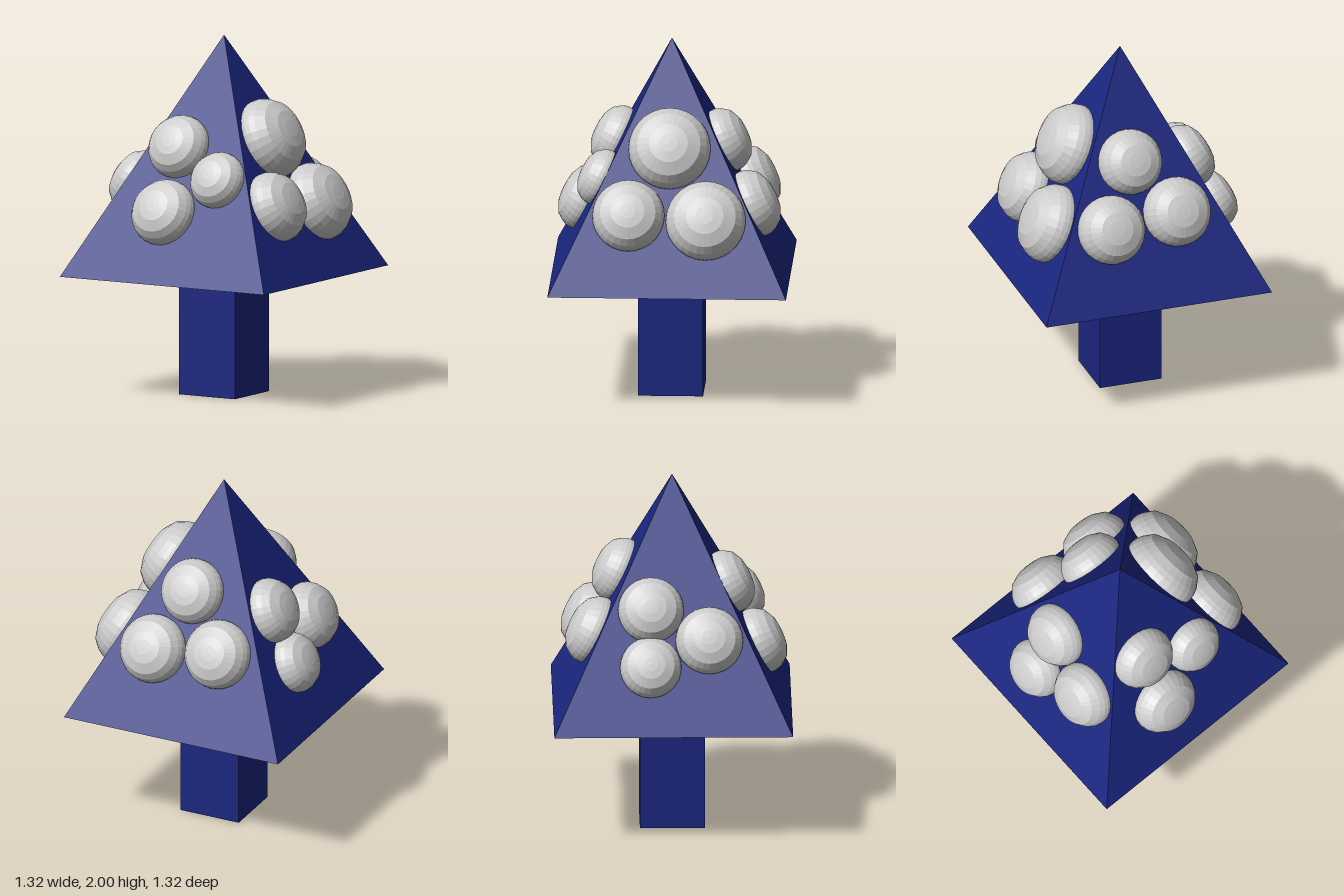
import * as THREE from 'three';

const BASE_Y = 0.68, APEX_Y = 2, HALF = 0.66;

export function createModel() {
  const model = new THREE.Group();
  model.name = 'tree';
  const blue = new THREE.MeshStandardMaterial({ color: 0x1a2680, flatShading: true });
  const grey = new THREE.MeshStandardMaterial({ color: 0xcccccc, flatShading: true });

  // Square trunk
  const trunk = new THREE.Mesh(new THREE.BoxGeometry(0.36, BASE_Y, 0.36), blue);
  trunk.name = 'trunk';
  trunk.position.y = BASE_Y / 2;
  model.add(trunk);

  // Four-sided pyramid crown
  const height = APEX_Y - BASE_Y;
  const crownGeometry = new THREE.ConeGeometry(HALF * Math.SQRT2, height, 4);
  crownGeometry.rotateY(Math.PI / 4);
  const crown = new THREE.Mesh(crownGeometry, blue);
  crown.name = 'crown';
  crown.position.y = BASE_Y + height / 2;
  model.add(crown);

  // Faceted, slightly flattened dome of unit radius, axis along +y
  const profile = [[0.99, -0.02], [1, 0.1], [0.98, 0.22], [0.92, 0.36], [0.77, 0.57], [0.47, 0.72], [0.22, 0.76], [0, 0.77]]
    .map(([r, h]) => new THREE.Vector2(r, h));
  const domeGeometry = new THREE.LatheGeometry(profile, 28);

  // Domes per crown face: [sideways offset, height, radius]
  const faces = [
    { name: 'front', turn: 0, domes: [[-0.1, 1.4, 0.18], [0.196, 1.245, 0.161], [-0.095, 1.055, 0.188]] },
    { name: 'left', turn: Math.PI / 2, domes: [[0, 1.436, 0.228], [-0.22, 1.095, 0.2], [0.208, 1.073, 0.222]] },
    { name: 'back', turn: Math.PI, domes: [[0.18, 1.148, 0.193], [-0.21, 1.108, 0.192], [-0.045, 1.427, 0.182]] },
    { name: 'right', turn: -Math.PI / 2, domes: [[-0.122, 1.317, 0.182], [-0.125, 1.03, 0.17], [0.2, 1.163, 0.187]] },
  ];
  const tilt = Math.atan2(height, HALF);
  for (const { name, turn, domes } of faces) {
    const group = new THREE.Group();
    group.name = name + 'Domes';
    group.rotation.y = turn;
    for (const [x, y, radius] of domes) {
      const dome = new THREE.Mesh(domeGeometry, grey);
      dome.name = name + 'Dome';
      dome.position.set(x, y, (APEX_Y - y) * HALF / height);
      dome.rotation.x = tilt;
      dome.scale.setScalar(radius);
      group.add(dome);
    }
    model.add(group);
  }
  return model;
}
